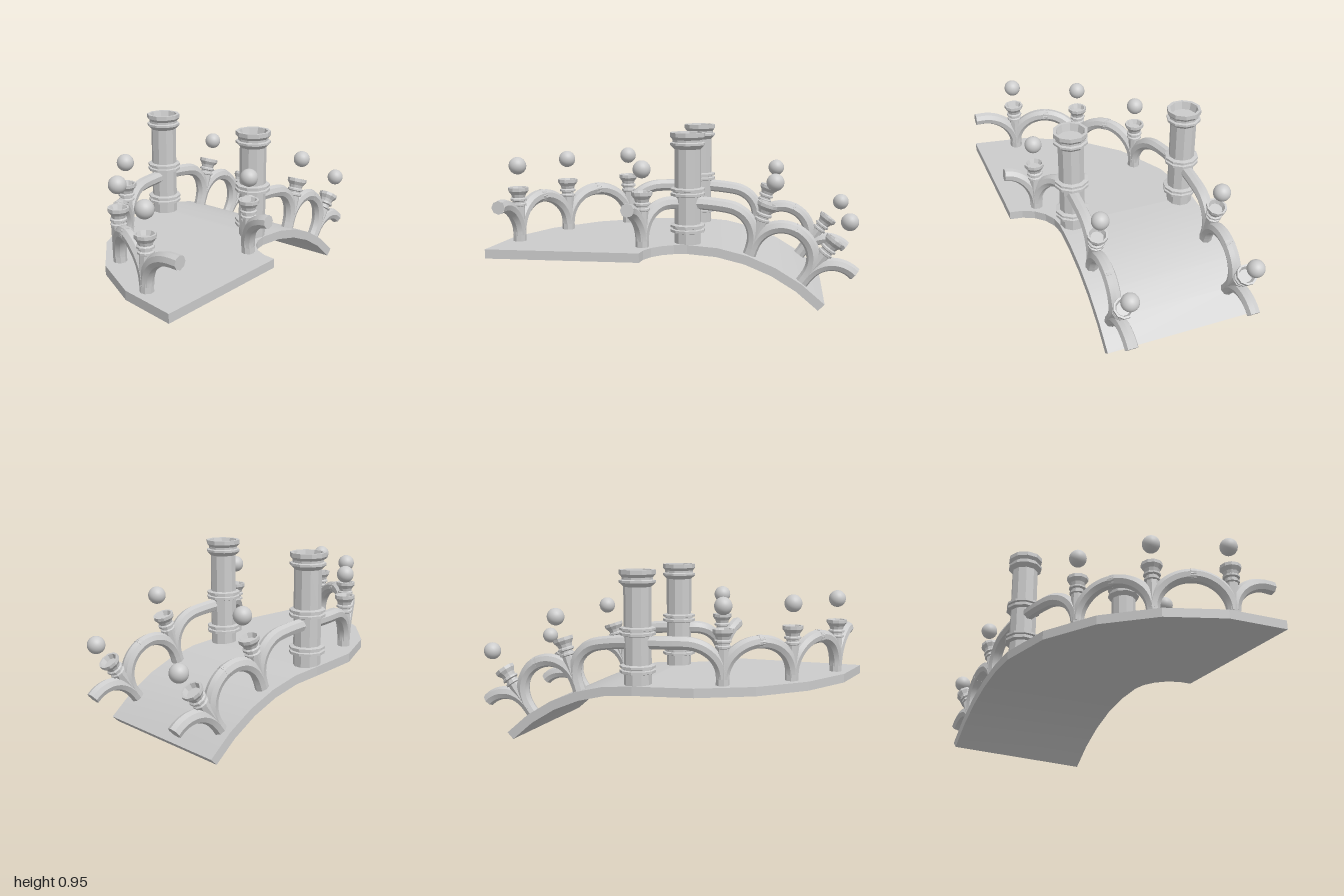
import * as THREE from 'three';
import { toCreasedNormals, mergeGeometries } from 'three/addons/utils/BufferGeometryUtils.js';

const CX = 0.055, CZ = 0.535, DECK = 0.35, THICK = 0.05, SLOPE_R = 1.06;
const rad = THREE.MathUtils.degToRad;
const smooth = new THREE.MeshStandardMaterial({ color: 0xcccccc });
const faceted = new THREE.MeshStandardMaterial({ color: 0xcccccc, flatShading: true });

function add(parent, name, geometry, material = smooth) {
  const mesh = new THREE.Mesh(geometry, material);
  mesh.name = name;
  parent.add(mesh);
  return mesh;
}

// Point at height h above the level, turning half of the deck (0 = free end, 90 = column)
const onBend = (rx, rz) => (deg, h) => new THREE.Vector3(
  CX - rx * Math.cos(rad(deg)), DECK + h, CZ - rz * Math.sin(rad(deg)));

// Point at height h above the descending half (0 = column, 45 = free end)
const onSlope = (z) => (deg, h) => new THREE.Vector3(
  CX + (SLOPE_R + h) * Math.sin(rad(deg)),
  DECK - SLOPE_R + (SLOPE_R + h) * Math.cos(rad(deg)), z);

function lathe(points, sides) {
  return new THREE.LatheGeometry(points.map(([r, y]) => new THREE.Vector2(r, y)), sides);
}

// Octagonal rail tube with closed ends
function railGeometry(points) {
  const curve = new THREE.CatmullRomCurve3(points);
  const r = 0.037;
  const tube = new THREE.TubeGeometry(curve, points.length * 2, r, 8, false);
  const caps = [0, 1].map((t) => {
    const cap = new THREE.CircleGeometry(r, 8);
    const dir = curve.getTangentAt(t).multiplyScalar(t ? 1 : -1);
    cap.applyQuaternion(new THREE.Quaternion().setFromUnitVectors(new THREE.Vector3(0, 0, 1), dir));
    const p = curve.getPointAt(t);
    return cap.translate(p.x, p.y, p.z);
  });
  return toCreasedNormals(mergeGeometries([tube, ...caps]), rad(32));
}

// Quarter-ellipse branch rising from a post, then level until the end angle
function branch(at, post, span, end) {
  const dir = Math.sign(end - post), reach = Math.abs(end - post), points = [];
  for (let i = 0; i <= 10; i++) {
    const a = (i / 10) * Math.PI / 2;
    const d = span * (1 - Math.cos(a));
    if (d >= reach) break;
    points.push(at(post + dir * d, 0.035 + 0.19 * Math.sin(a)));
  }
  const first = Math.min(span, reach);
  for (let i = 1; i <= 5 && reach > span + 0.01; i++) {
    points.push(at(post + dir * (first + (reach - first) * i / 5), 0.225));
  }
  if (reach <= span) {
    points.push(at(end, 0.035 + 0.19 * Math.sqrt(1 - (1 - reach / span) ** 2)));
  }
  return railGeometry(points);
}

// Post with its flared capital and the ball floating above
function makePost() {
  const post = new THREE.Group();
  add(post, 'postShaft', new THREE.CylinderGeometry(0.034, 0.037, 0.23, 8).translate(0, 0.1, 0), faceted);
  add(post, 'postCapital', lathe([
    [0.028, 0.17], [0.032, 0.195], [0.043, 0.2], [0.043, 0.21], [0.034, 0.215],
    [0.034, 0.224], [0.046, 0.229], [0.046, 0.239], [0.037, 0.245], [0.042, 0.262],
    [0.057, 0.282], [0.057, 0.3], [0.046, 0.3], [0.036, 0.275], [0, 0.275],
  ], 10), faceted);
  add(post, 'floatingBall', new THREE.SphereGeometry(0.048, 24, 16).translate(0, 0.42, 0));
  return post;
}

// One run of posts and arches from the free end to the column
function makeRun(parent, name, at, posts, span, freeEnd, columnEnd, tilted) {
  const run = new THREE.Group();
  run.name = name;
  const order = [freeEnd, ...posts, columnEnd];
  posts.forEach((deg, i) => {
    const post = makePost();
    post.name = 'post';
    post.position.copy(at(deg, 0));
    if (tilted) post.rotation.z = -rad(deg);
    else post.rotation.y = -rad(deg);
    run.add(post);
    [i, i + 2].forEach((k) => {
      const isPost = k > 0 && k < order.length - 1;
      const end = isPost ? (deg + order[k]) / 2 : order[k];
      add(run, 'railArch', branch(at, deg, isPost ? Math.abs(end - deg) : span, end));
    });
  });
  parent.add(run);
}

function makeDeck(parent) {
  // Level quarter bend
  const bend = new THREE.Shape();
  const outer = onBend(1.055, 1.067), inner = onBend(0.225, 0.235);
  const corners = [];
  for (let i = 0; i <= 5; i++) corners.push(outer(i * 18, 0));
  for (let i = 5; i >= 0; i--) corners.push(inner(i * 18, 0));
  bend.setFromPoints(corners.map((p) => new THREE.Vector2(p.x, -p.z)));
  const level = new THREE.ExtrudeGeometry(bend, { depth: THICK, bevelEnabled: false });
  level.rotateX(-Math.PI / 2).translate(0, DECK - THICK, 0);
  add(parent, 'levelDeck', toCreasedNormals(level, rad(12)));

  // Descending straight half
  const at = onSlope(0), side = [];
  for (let i = 0; i <= 5; i++) side.push(at(i * 9, 0));
  for (let i = 5; i >= 0; i--) side.push(at(i * 9, -THICK));
  const profile = new THREE.Shape(side.map((p) => new THREE.Vector2(p.x, p.y)));
  const slope = new THREE.ExtrudeGeometry(profile, { depth: 0.832, bevelEnabled: false });
  slope.translate(0, 0, -0.532);
  add(parent, 'slopingDeck', toCreasedNormals(slope, rad(20)));
}

// Tall ten-sided column: double rings low and midway, hollow flared top
function makeColumn(parent, z) {
  const s = 0.074, w = 0.097, n = 0.083;
  const rings = (y) => [
    [s, y], [w, y + 0.006], [w, y + 0.02], [n, y + 0.023],
    [n, y + 0.03], [w, y + 0.033], [w, y + 0.045], [s, y + 0.05],
  ];
  const column = add(parent, 'column', lathe([
    [0, 0.33], [s, 0.33], ...rings(0.407), ...rings(0.608),
    [s, 0.868], [w, 0.89], [w, 0.902], [n, 0.906], [n, 0.918],
    [w, 0.934], [w, 0.957], [0.08, 0.957], [0.07, 0.915], [0, 0.915],
  ], 10), faceted);
  column.position.set(0.05, 0, z);
}

export function createModel() {
  const model = new THREE.Group();
  model.name = 'curvedBridge';
  makeDeck(model);
  [-0.45, 0.222].forEach((z) => makeColumn(model, z));
  makeRun(model, 'outerBendRail', onBend(0.972, 0.982), [14.5, 38.7, 63], 12.2, 0, 89, false);
  makeRun(model, 'innerBendRail', onBend(0.285, 0.295), [34.5], 36, 0, 88, false);
  [-0.458, 0.234].forEach((z, i) => {
    makeRun(model, i ? 'innerSlopeRail' : 'outerSlopeRail', onSlope(z), [36.2, 18.6], 8.8, 45, 0.5, true);
  });
  return model;
}
